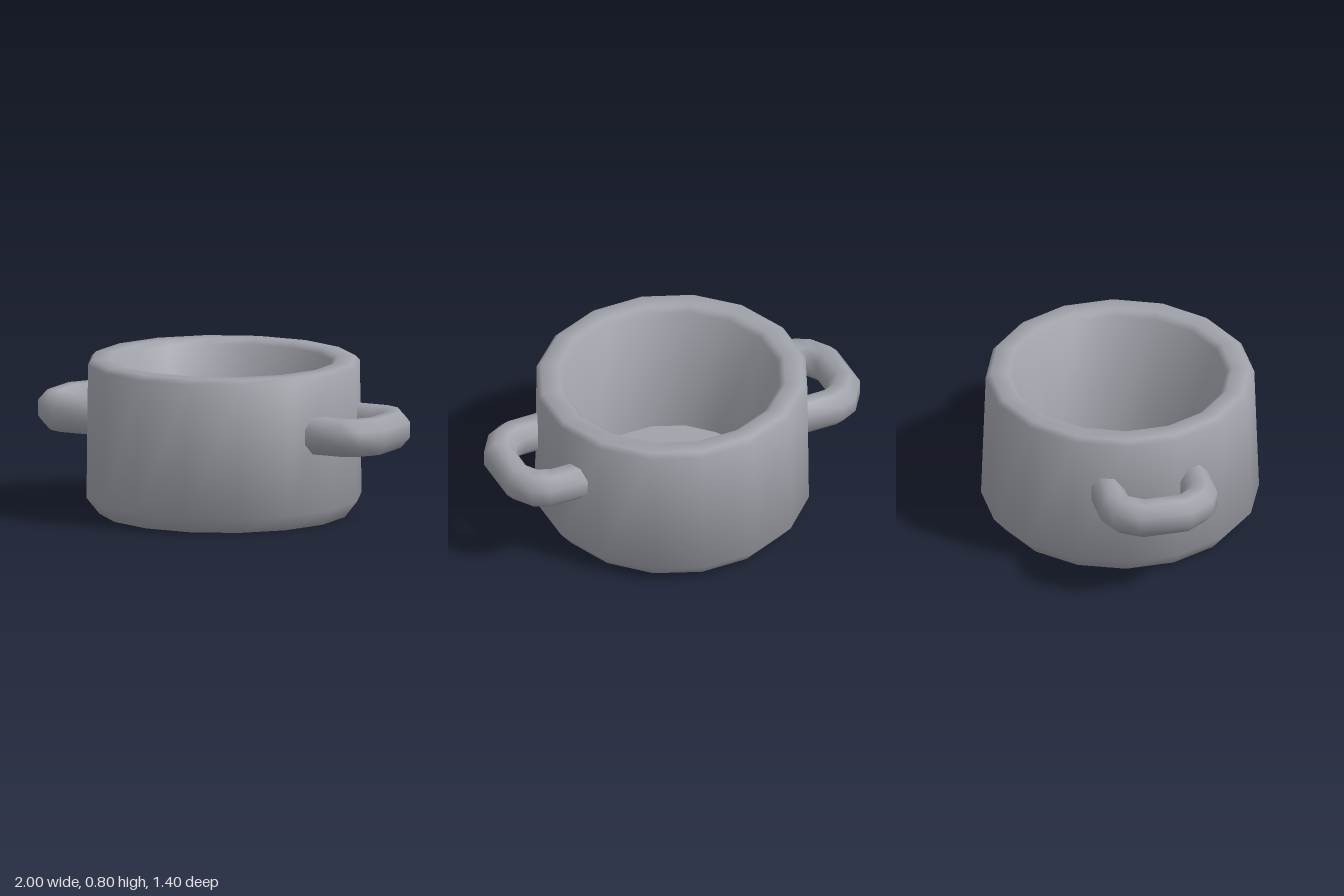
import * as THREE from 'three';
import { toCreasedNormals } from 'three/addons/utils/BufferGeometryUtils.js';

// Skin a list of closed rings, each an array of Vector3 with the same count
function loft(rings) {
  const n = rings[0].length;
  const index = [];
  for (let r = 0; r < rings.length - 1; r++) {
    for (let k = 0; k < n; k++) {
      const a = r * n + k, b = r * n + (k + 1) % n;
      index.push(a, a + n, b, b, a + n, b + n);
    }
  }
  const geometry = new THREE.BufferGeometry().setFromPoints(rings.flat());
  geometry.setIndex(index);
  return toCreasedNormals(geometry, 1.1);
}

// Ring angles set half a step round, so flat facets lie on the axes;
// f maps unit half-widths (u, v) to a point
function ring(sides, f) {
  const scale = 1 / Math.cos(Math.PI / sides);
  return Array.from({ length: sides }, (_, k) => {
    const a = (k + 0.5) * 2 * Math.PI / sides;
    return f(Math.cos(a) * scale, Math.sin(a) * scale);
  });
}

export function createModel() {
  const metal = new THREE.MeshStandardMaterial({ color: 0xa0a2aa });
  metal.name = 'grey metal';
  const group = new THREE.Group();
  group.name = 'cookingPot';

  // Pot: half width x, half depth z, height; up the outside, over the rim, down the inside
  const profile = [
    [0, 0, 0], [0.63, 0.63, 0], [0.695, 0.70, 0.085],
    [0.693, 0.675, 0.775], [0.67, 0.65, 0.8],
    [0.58, 0.565, 0.8], [0.55, 0.535, 0.775],
    [0.44, 0.44, 0.12], [0, 0, 0.12],
  ];
  const pot = new THREE.Mesh(
    loft(profile.map(([x, z, y]) => ring(16, (u, v) => new THREE.Vector3(u * x, y, v * z)))),
    metal);
  pot.name = 'potBody';
  group.add(pot);

  // Handle: outer x, z and inner x, z of each section, then mirrored front to back
  const half = [
    [0.58, 0.307, 0.58, 0.15], [0.83, 0.307, 0.76, 0.147],
    [0.915, 0.265, 0.815, 0.125], [1.0, 0.14, 0.85, 0.07],
  ];
  const path = [...half, ...half.map(([ox, oz, ix, iz]) => [ox, -oz, ix, -iz]).reverse()];
  const handleGeometry = loft(path.map(([ox, oz, ix, iz]) => ring(8, (u, v) => new THREE.Vector3(
    (ox + ix) / 2 + u * (ox - ix) / 2,
    0.483 + v * 0.094,
    (oz + iz) / 2 + u * (oz - iz) / 2))));
  for (const side of ['left', 'right']) {
    const handle = new THREE.Mesh(handleGeometry, metal);
    handle.name = side + 'Handle';
    if (side === 'right') handle.rotation.y = Math.PI;
    group.add(handle);
  }
  return group;
}
